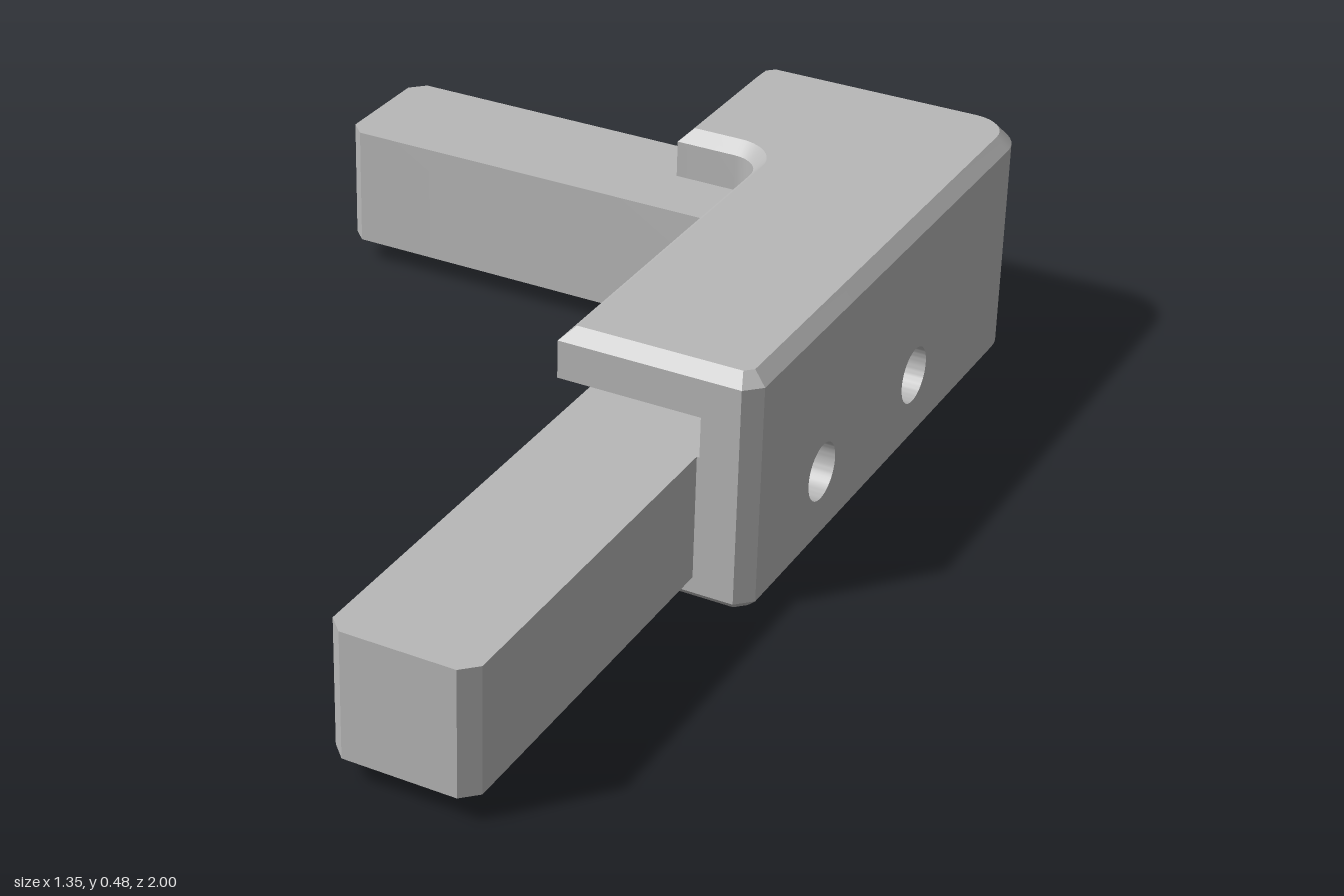
import * as THREE from 'three';
import { toCreasedNormals } from 'three/addons/utils/BufferGeometryUtils.js';

const X = 0.676; // outer side face

// Points of an arc in plan (x, z), angles in degrees
function arc(cx, cz, r, from, to, n = 10) {
  return Array.from({ length: n + 1 }, (_, i) => {
    const a = THREE.MathUtils.degToRad(from + ((to - from) * i) / n);
    return [cx + r * Math.cos(a), cz + r * Math.sin(a)];
  });
}

// Moves a counter-clockwise outline inwards by d with mitred corners
function inset(points, d) {
  const n = points.length;
  const normal = (a, b) => new THREE.Vector2(a.y - b.y, b.x - a.x).normalize();
  return points.map((p, i) => {
    const n1 = normal(points[(i + n - 1) % n], p);
    const n2 = normal(p, points[(i + 1) % n]);
    const k = d / (1 + n1.dot(n2));
    return p.clone().add(n1.add(n2).multiplyScalar(k));
  });
}

// Solid from a plan outline; levels are [height, inset] from bottom to top
function planSolid(outline, levels) {
  const pts = outline.map(([x, z]) => new THREE.Vector2(x, z));
  if (THREE.ShapeUtils.isClockWise(pts)) pts.reverse();
  const n = pts.length;
  const pos = [];
  const index = [];
  for (const [y, d] of levels) {
    for (const p of inset(pts, d)) pos.push(p.x, y, p.y);
  }
  for (let l = 0; l < levels.length - 1; l++) {
    for (let i = 0; i < n; i++) {
      const a = l * n + i;
      const b = l * n + ((i + 1) % n);
      index.push(a, b + n, b, a, a + n, b + n);
    }
  }
  const top = (levels.length - 1) * n;
  for (const [a, b, c] of THREE.ShapeUtils.triangulateShape(pts, [])) {
    index.push(a, b, c, top + a, top + c, top + b);
  }
  const geo = new THREE.BufferGeometry();
  geo.setAttribute('position', new THREE.Float32BufferAttribute(pos, 3));
  geo.setIndex(index);
  return toCreasedNormals(geo, 0.5);
}

export function createModel() {
  const model = new THREE.Group();
  const grey = new THREE.MeshStandardMaterial({ color: 0xb8b8b8 });
  grey.name = 'grey';
  const add = (name, geo) => {
    const mesh = new THREE.Mesh(geo, grey);
    mesh.name = name;
    model.add(mesh);
  };

  const outerCorner = arc(X - 0.1, -0.9, 0.1, -90, 0);
  const innerCorner = arc(0.22, -0.55, 0.065, 0, -90);
  const frontEnd = [[X, 0.19], [X - 0.03, 0.22]];
  const sideEnd = [[0.095, -0.97], [0.125, -1]];

  // Top and bottom plates of the bracket, with chamfered rims
  const plate = [...frontEnd, [0.285, 0.22], ...innerCorner, [0.095, -0.615], ...sideEnd, ...outerCorner];
  add('bottomPlate', planSolid(plate, [[0, 0.018], [0.018, 0], [0.05, 0]]));
  add('topPlate', planSolid(plate, [[0.38, 0], [0.455, 0], [0.48, 0.025]]));

  // Outer wall beside the open slot between bars and top plate
  const wall = [...frontEnd, [0.57, 0.22], [0.57, -0.88], [0.555, -0.895], [0.095, -0.895], ...sideEnd, ...outerCorner];
  add('slotWall', planSolid(wall, [[0.3, 0], [0.38, 0]]));

  // Both bars with the lower wall, notched for the drilled block
  const bars = [
    ...frontEnd, [0.565, 0.22], [0.565, 0.97], [0.535, 1], [0.315, 1], [0.285, 0.97],
    ...innerCorner,
    [-0.646, -0.615], [-X, -0.645], [-X, -0.86], [-0.646, -0.89], [0.095, -0.89],
    ...sideEnd, ...outerCorner, [0.42, -0.9], [0.42, 0.19],
  ];
  add('barsAndLowerWall', planSolid(bars, [[0.05, 0], [0.3, 0]]));

  // Side block with two blind screw holes
  const side = new THREE.Shape();
  side.moveTo(-0.19, 0.05).lineTo(0.9, 0.05).lineTo(0.9, 0.3).lineTo(-0.19, 0.3).closePath();
  for (const u of [0.075, 0.49]) {
    side.holes.push(new THREE.Path().absarc(u, 0.15, 0.057, 0, Math.PI * 2, true));
  }
  const block = new THREE.ExtrudeGeometry(side, { depth: X - 0.42, bevelEnabled: false, curveSegments: 32 });
  block.rotateY(Math.PI / 2).translate(0.42, 0, 0);
  add('drilledSide', toCreasedNormals(block, 0.5));

  return model;
}
